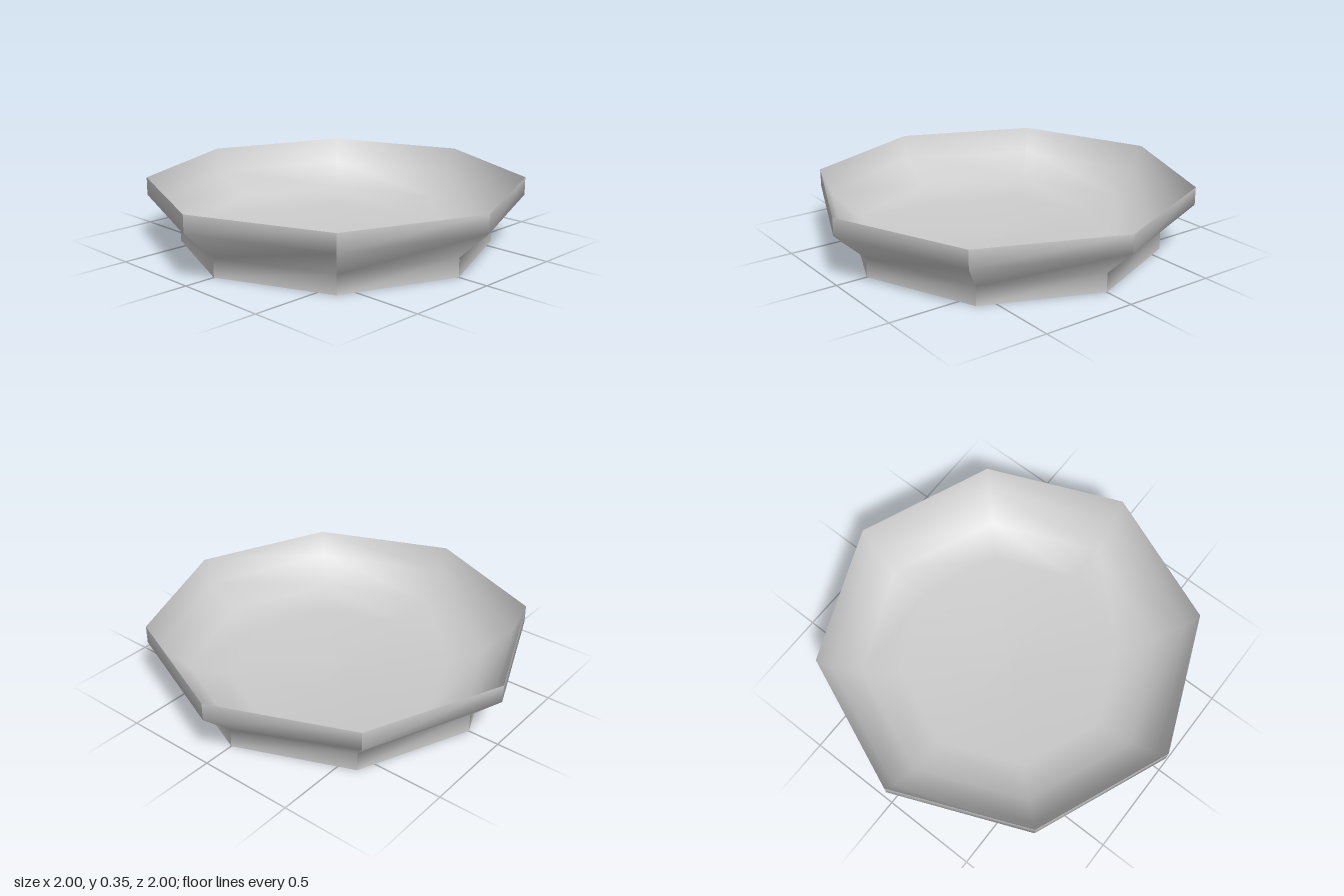
import * as THREE from 'three';

const SIDES = 8;
const FOOT_RADIUS = 0.833;
const material = new THREE.MeshStandardMaterial({ color: 0xcccccc });

// One wall panel: a strip following the outer profile, smooth from rim to foot
function panelGeometry(profile) {
  const geometry = new THREE.PlaneGeometry(1, 1, 1, profile.length - 1);
  const position = geometry.attributes.position;
  const half = Math.PI / SIDES;
  profile.forEach(([r, y], row) => {
    [-1, 1].forEach((side, col) => {
      position.setXYZ(row * 2 + col, side * r * Math.sin(half), y, r * Math.cos(half));
    });
  });
  geometry.computeVertexNormals();
  return geometry;
}

export function createModel() {
  const dish = new THREE.Group();
  dish.name = 'octagonalDish';

  // Outer wall: eight identical panels meeting at sharp corners
  const wall = new THREE.Group();
  wall.name = 'outerWall';
  const panel = panelGeometry([[1, 0.35], [1, 0.255], [FOOT_RADIUS, 0.1], [FOOT_RADIUS, 0]]);
  for (let i = 0; i < SIDES; i++) {
    const mesh = new THREE.Mesh(panel, material);
    mesh.name = 'wallPanel';
    mesh.rotation.y = ((i + 0.5) * Math.PI * 2) / SIDES;
    wall.add(mesh);
  }
  dish.add(wall);

  // Hollow of the dish: steep at the rim, curving down to a low floor
  const hollow = [[1, 0.35], [0.945, 0.22], [0.8, 0.09], [0.6, 0.03], [0, 0.015]]
    .map(([r, y]) => new THREE.Vector2(r, y));
  const bowl = new THREE.Mesh(new THREE.LatheGeometry(hollow, SIDES), material);
  bowl.name = 'bowlInterior';
  dish.add(bowl);

  // Flat underside of the foot
  const base = new THREE.Mesh(new THREE.CircleGeometry(FOOT_RADIUS, SIDES).rotateX(Math.PI / 2), material);
  base.name = 'footUnderside';
  dish.add(base);

  return dish;
}
